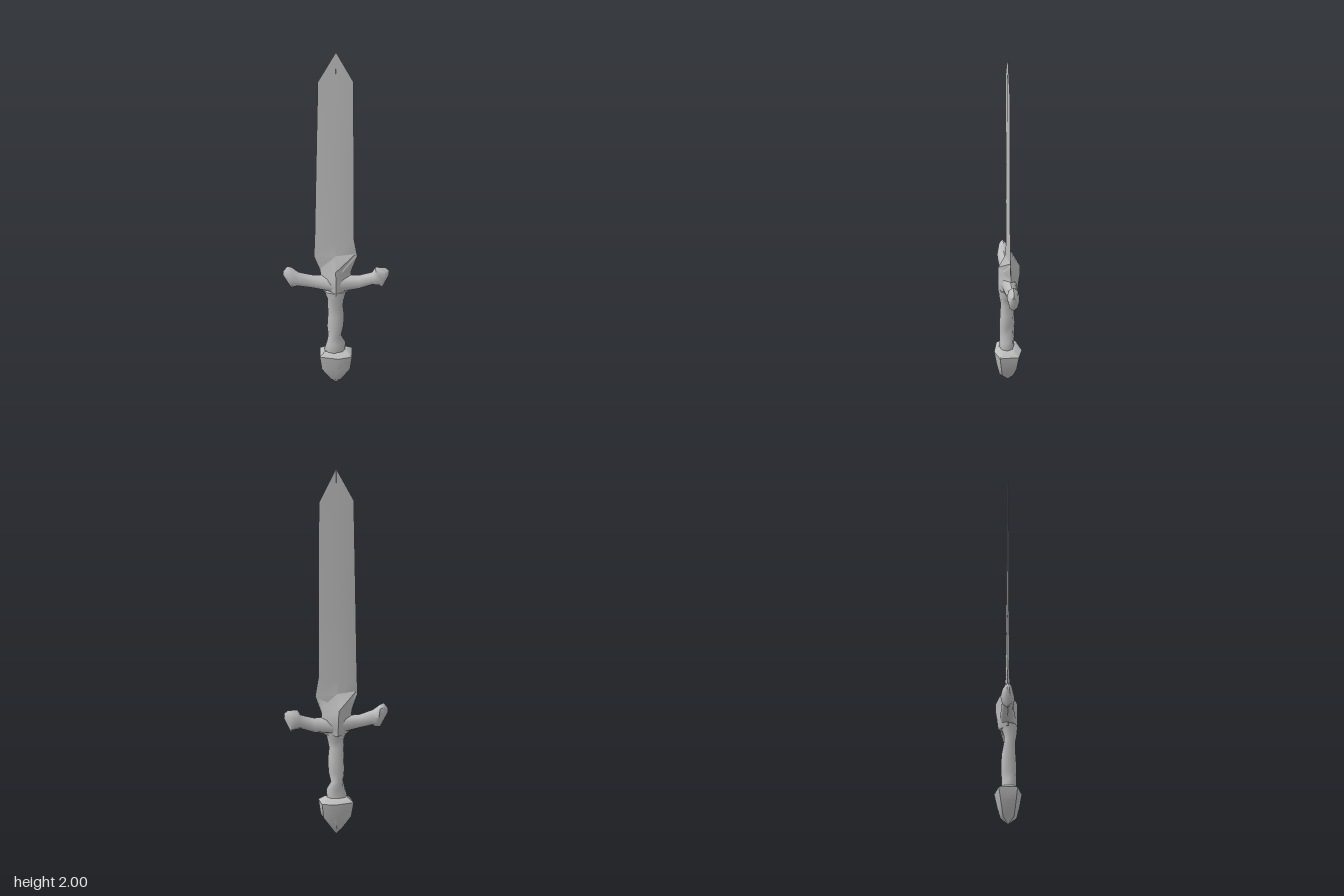
import * as THREE from 'three';
import { toCreasedNormals } from 'three/addons/utils/BufferGeometryUtils.js';

const steel = new THREE.MeshStandardMaterial({ color: 0xbcbcbc });
steel.name = 'steel';

// Cross-section outlines in a unit square, counter-clockwise from +x towards front (+z)
const DIAMOND = [[1, 0], [0, 1], [-1, 0], [0, -1]];
const HEX = [[1, 0.68], [0.15, 1], [-1, 0.68], [-1, -0.68], [0.15, -1], [1, -0.68]];
const ROUND = Array.from({ length: 8 }, (_, i) => [Math.cos(i * Math.PI / 4), Math.sin(i * Math.PI / 4)]);

// Joins sections [height, min a, max a, min b, max b] of one outline into a closed skin.
// An optional sixth value tilts the section: height gained per unit of a.
function loft(name, outline, sections, crease = 0.6, along = 'y') {
  const n = outline.length, pos = [], idx = [];
  const put = (h, a, b) => (along === 'y' ? pos.push(a, h, b) : pos.push(h, -a, b));
  for (const [h, a0, a1, b0, b1, tilt = 0] of sections) {
    for (const [u, v] of outline) {
      const a = (a0 + a1) / 2 + u * (a1 - a0) / 2;
      put(h + tilt * (a - (a0 + a1) / 2), a, v > 0 ? (b0 + b1) / 2 + v * (b1 - b0) / 2 : (b0 + b1) / 2 + v * (b1 - b0) / 2);
    }
  }
  for (let s = 0; s < sections.length - 1; s++) {
    for (let i = 0; i < n; i++) {
      const a = s * n + i, b = s * n + (i + 1) % n;
      idx.push(a, a + n, b, b, a + n, b + n);
    }
  }
  // End caps
  const last = (sections.length - 1) * n;
  for (let i = 1; i < n - 1; i++) idx.push(0, i, i + 1, last, last + i + 1, last + i);
  const g = new THREE.BufferGeometry();
  g.setAttribute('position', new THREE.Float32BufferAttribute(pos, 3));
  g.setIndex(idx);
  const mesh = new THREE.Mesh(toCreasedNormals(g, crease), steel);
  mesh.name = name;
  return mesh;
}

// Crossguard arm: sections along x, given as [x, bottom, top, back, front, lean]
function guardArm(name, rows) {
  const sections = rows.map(([x, y0, y1, z0, z1, lean = 0]) => [x, -y1, -y0, z0, z1, -lean]);
  return loft(name, ROUND, sections, 0.9, 'x');
}

export function createModel() {
  const sword = new THREE.Group();
  sword.name = 'sword';

  // Flat diamond blade, flaring at its shoulders
  sword.add(loft('blade', DIAMOND, [
    [0.64, -0.07, 0.07, -0.05, 0.04],
    [0.76, -0.115, 0.112, -0.018, 0.012],
    [0.86, -0.111, 0.095, -0.013, 0.008],
    [1.3, -0.104, 0.094, -0.009, 0.006],
    [1.82, -0.095, 0.092, -0.003, 0.003],
    [2.0, -0.001, 0.001, -0.001, 0.001],
  ], 0.5));

  // Ridged centre block of the guard, tapering into the blade
  sword.add(loft('guardCentre', DIAMOND, [
    [0.545, -0.06, 0.06, -0.052, 0.05],
    [0.6, -0.1, 0.1, -0.058, 0.05],
    [0.645, -0.08, 0.08, -0.065, 0.05],
    [0.69, -0.085, 0.08, -0.066, 0.05],
    [0.775, -0.108, 0.105, -0.014, 0.008],
  ], 0.7));

  // Upswept arms with flared, pointed ends
  sword.add(guardArm('rightGuardArm', [
    [-0.276, 0.645, 0.67, -0.008, 0.006],
    [-0.245, 0.572, 0.7, -0.028, 0.024, -0.15],
    [-0.22, 0.574, 0.692, -0.042, 0.031, -0.2],
    [-0.195, 0.582, 0.665, -0.033, 0.031],
    [-0.12, 0.57, 0.645, -0.037, 0.029],
    [0, 0.545, 0.645, -0.046, 0.042],
  ]));
  sword.add(guardArm('leftGuardArm', [
    [0, 0.545, 0.645, -0.046, 0.042],
    [0.12, 0.563, 0.642, -0.038, 0.026],
    [0.19, 0.588, 0.662, -0.033, 0.026],
    [0.217, 0.582, 0.692, -0.038, 0.03, -0.2],
    [0.25, 0.57, 0.69, -0.032, 0.026, 0.15],
    [0.277, 0.645, 0.675, -0.006, 0.006],
  ]));

  // Slightly uneven grip
  sword.add(loft('grip', ROUND, [
    [0.17, -0.055, 0.05, -0.035, 0.042],
    [0.205, -0.06, 0.048, -0.033, 0.046],
    [0.245, -0.048, 0.05, -0.034, 0.044],
    [0.285, -0.04, 0.027, -0.036, 0.043],
    [0.34, -0.046, 0.04, -0.038, 0.044],
    [0.41, -0.042, 0.043, -0.033, 0.04],
    [0.47, -0.043, 0.036, -0.022, 0.038],
    [0.51, -0.045, 0.043, -0.022, 0.045],
    [0.56, -0.062, 0.055, -0.038, 0.05],
  ], 1.2));

  // Six-sided pommel narrowing to a point
  sword.add(loft('pommel', HEX, [
    [0, -0.002, 0.002, -0.002, 0.002],
    [0.035, -0.027, 0.027, -0.04, 0.045],
    [0.1, -0.074, 0.074, -0.057, 0.06],
    [0.178, -0.084, 0.084, -0.073, 0.073],
    [0.2, -0.058, 0.055, -0.038, 0.042],
  ], 0.7));

  return sword;
}
